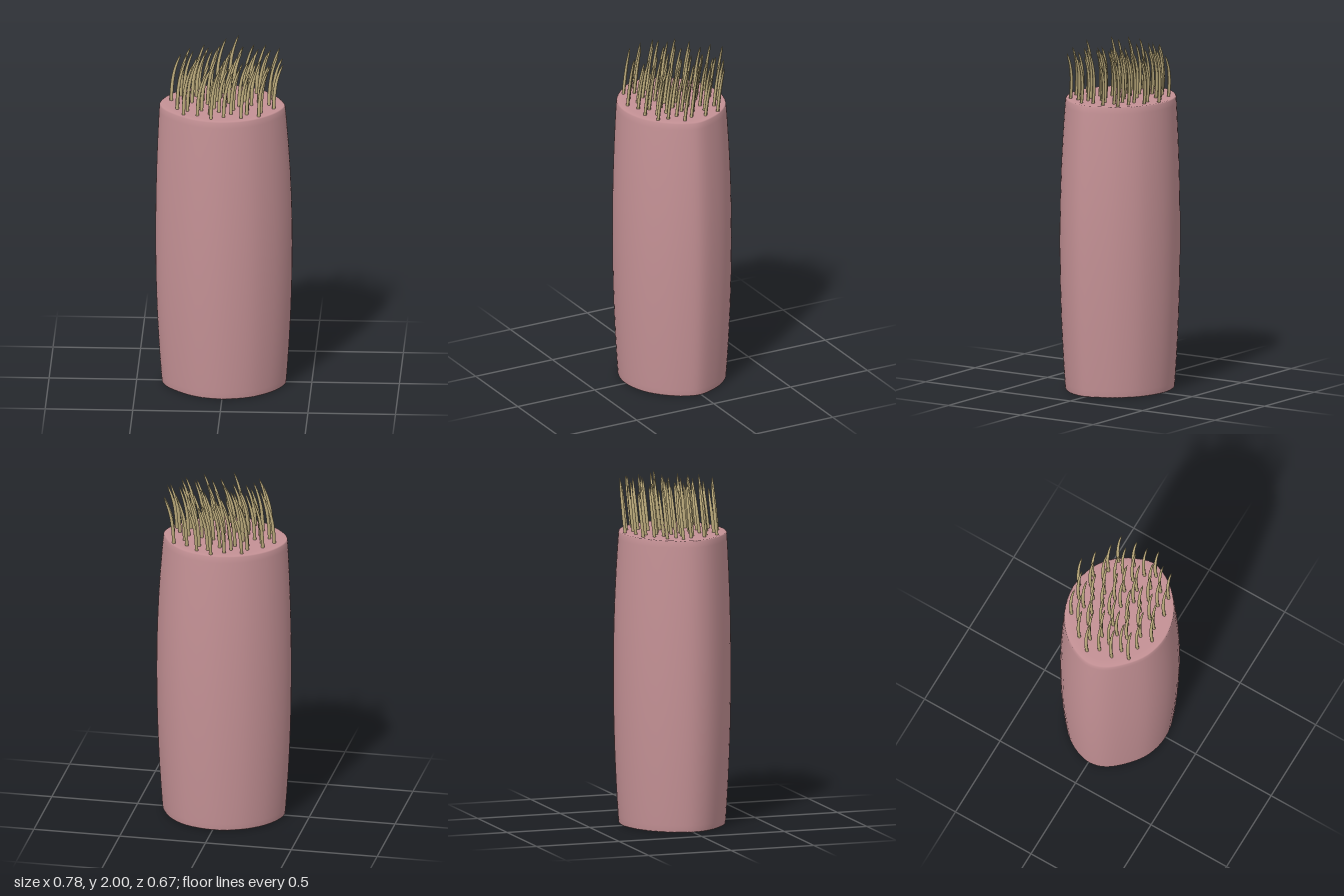
import * as THREE from 'three';

const TOP = 1.69;
const skin = new THREE.MeshStandardMaterial({ color: 0xc49195 });
skin.name = 'dusty pink';
const straw = new THREE.MeshStandardMaterial({ color: 0xbcab7c });
straw.name = 'straw';

// Widest outline of the body as x, z pairs, slightly irregular
const OUTLINE = [
  0.39, 0.01, 0.365, 0.1, 0.296, 0.2, 0.17, 0.295, 0, 0.333, -0.155, 0.3, -0.28, 0.21, -0.366, 0.106,
  -0.392, 0.01, -0.37, -0.09, -0.3, -0.2, -0.176, -0.293, 0, -0.335, 0.18, -0.293, 0.286, -0.21, 0.352, -0.11,
];

// Root spots of the bristles as x, z pairs
const SPOTS = [
  0.04, -0.29, -0.13, -0.24, -0.03, -0.25, 0.13, -0.25, 0.07, -0.23, -0.15, -0.18, -0.06, -0.2, 0.01, -0.18,
  0.13, -0.18, 0.2, -0.19, 0.28, -0.17, -0.23, -0.13, -0.07, -0.14, 0.07, -0.14, -0.14, -0.12, 0, -0.11,
  0.16, -0.12, 0.23, -0.11, 0.3, -0.08, -0.21, -0.07, -0.28, -0.05, -0.1, -0.06, 0.07, -0.07, -0.02, -0.05,
  0.14, -0.05, 0.22, -0.04, -0.16, -0.02, 0.05, -0.02, -0.07, 0, -0.24, 0.01, 0.28, 0, 0.18, 0.01,
  0.11, 0.03, -0.18, 0.04, 0.03, 0.04, -0.11, 0.05, 0.23, 0.07, -0.03, 0.07, 0.31, 0.06, -0.24, 0.09,
  0.08, 0.09, 0.16, 0.1, -0.18, 0.12, -0.1, 0.11, 0, 0.13, 0.24, 0.13, 0.07, 0.16, 0.16, 0.16,
  -0.05, 0.17, -0.2, 0.18, -0.12, 0.19, 0.23, 0.19, 0.03, 0.21, 0.13, 0.22, -0.04, 0.24,
];

// Bulging column: stacked copies of the outline, closed at both ends
function bodyGeometry() {
  const pts = [];
  for (let i = 0; i < OUTLINE.length; i += 2) pts.push(new THREE.Vector3(OUTLINE[i], 0, OUTLINE[i + 1]));
  const N = 64;
  const loop = new THREE.CatmullRomCurve3(pts, true).getPoints(N).slice(0, N);
  const bulge = (y) => 1 - 0.088 * Math.pow(Math.abs(y - 0.87) / 0.85, 2);

  const rings = [[0, 0], [0, 0.6], [0, 0.8], [0, 0.9], [0.005, bulge(0)]];
  for (const y of [0.04, 0.12, 0.25, 0.4, 0.55, 0.7, 0.85, 1, 1.15, 1.3, 1.45, 1.58, 1.65]) rings.push([y, bulge(y)]);
  rings.push([TOP - 0.005, bulge(TOP)], [TOP, 0.9], [TOP, 0.8], [TOP, 0.6], [TOP, 0]);

  const position = [], index = [];
  rings.forEach(([y, s], r) => {
    const shift = -0.01 * Math.pow(Math.max(0, y - 0.8) / 0.9, 2);
    for (const p of loop) position.push(p.x * s + shift, y, p.z * s);
    if (r === 0) return;
    for (let i = 0; i < N; i++) {
      const j = (i + 1) % N, a = (r - 1) * N, b = r * N;
      if (r > 1) index.push(a + i, b + i, a + j);
      if (r < rings.length - 1) index.push(a + j, b + i, b + j);
      else index.push();
    }
  });
  const g = new THREE.BufferGeometry();
  g.setAttribute('position', new THREE.Float32BufferAttribute(position, 3));
  g.setIndex(index);
  g.computeVertexNormals();
  return g;
}

// Curved bristle: a tube drawn in towards its path near the tip
function bristleGeometry(height) {
  const path = new THREE.CatmullRomCurve3([
    new THREE.Vector3(-0.025, -0.02, 0.012),
    new THREE.Vector3(-0.022, height * 0.25, 0.003),
    new THREE.Vector3(-0.012, height * 0.55, -0.003),
    new THREE.Vector3(0.007, height * 0.8, -0.005),
    new THREE.Vector3(0.03, height, -0.003),
  ]);
  const steps = 12, sides = 8;
  const g = new THREE.TubeGeometry(path, steps, 0.0105, sides, false);
  const pos = g.attributes.position, v = new THREE.Vector3();
  for (let i = 0; i <= steps; i++) {
    const t = i / steps, centre = path.getPointAt(t);
    const width = i === steps ? 0.02 : 0.85 + 0.6 * t - 1.05 * t * t;
    for (let k = 0; k <= sides; k++) {
      const n = i * (sides + 1) + k;
      v.fromBufferAttribute(pos, n).sub(centre).multiplyScalar(width).add(centre);
      pos.setXYZ(n, v.x, v.y, v.z);
    }
  }
  g.computeVertexNormals();
  return g;
}

export function createModel() {
  const model = new THREE.Group();
  model.name = 'bristledColumn';

  const body = new THREE.Mesh(bodyGeometry(), skin);
  body.name = 'body';
  model.add(body);

  // Bristles of slightly varied height, all leaning the same way
  const bristles = new THREE.Group();
  bristles.name = 'bristles';
  let seed = 7;
  const random = () => (seed = (seed * 16807) % 2147483647) / 2147483647;
  for (let i = 0; i < SPOTS.length; i += 2) {
    const height = i === 0 ? 0.31 : 0.25 + 0.058 * random();
    const bristle = new THREE.Mesh(bristleGeometry(height), straw);
    bristle.name = 'bristle';
    bristle.position.set(SPOTS[i], TOP, SPOTS[i + 1]);
    bristles.add(bristle);
  }
  model.add(bristles);
  return model;
}
